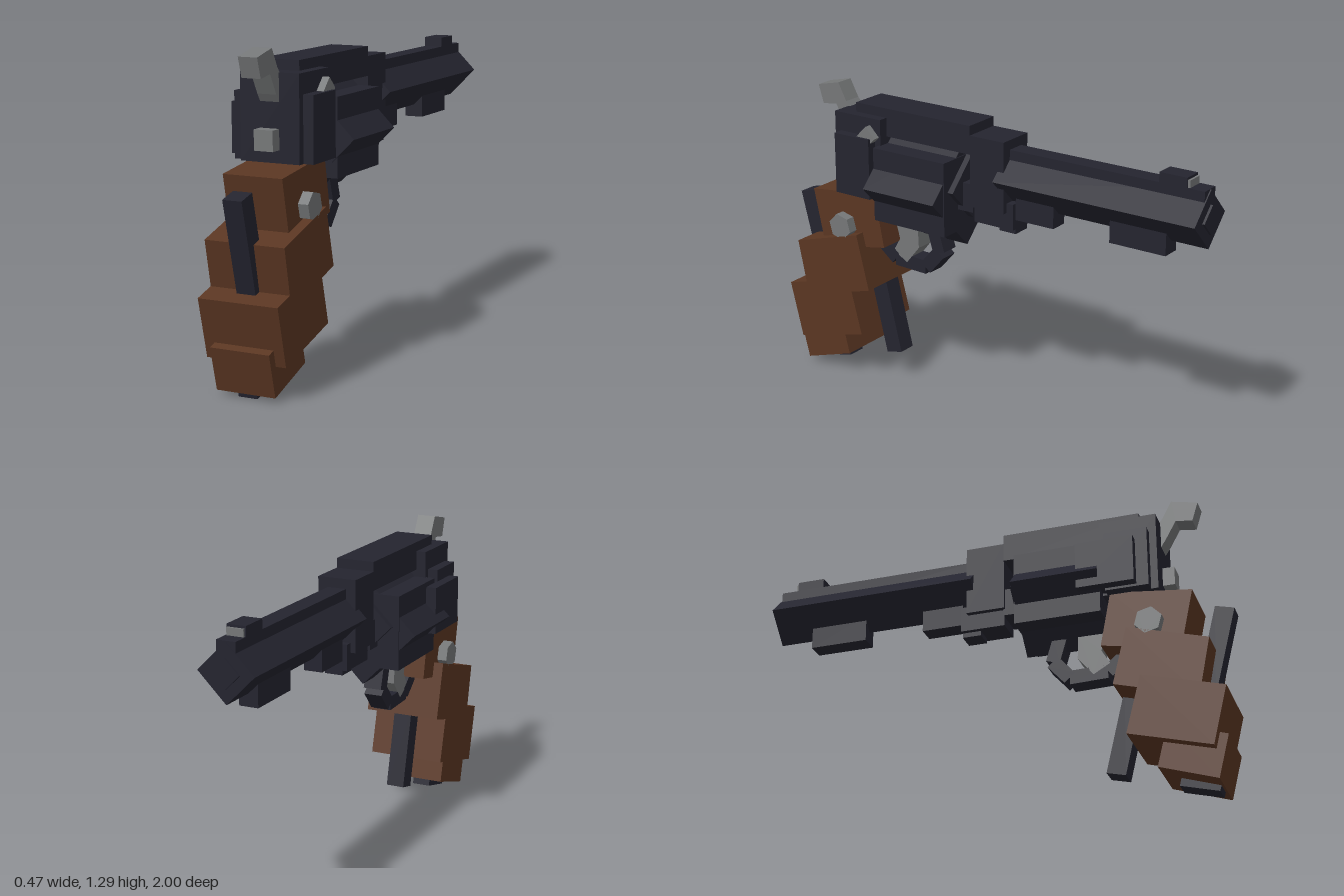
import * as THREE from 'three';

export function createModel() {
  const model = new THREE.Group();
  model.name = 'revolver';
  const material = (name, color) => {
    const m = new THREE.MeshStandardMaterial({ color });
    m.name = name;
    return m;
  };
  const gunmetal = material('gunmetal', 0x24242f);
  const wood = material('wood', 0x5a3622);
  const steel = material('steel', 0x757778);

  const add = (name, geometry, mat) => {
    const mesh = new THREE.Mesh(geometry, mat);
    mesh.name = name;
    model.add(mesh);
    return mesh;
  };
  // Box given by its limits on each axis
  const block = (name, [x0, x1], [y0, y1], [z0, z1], mat = gunmetal) => {
    const mesh = add(name, new THREE.BoxGeometry(x1 - x0, y1 - y0, z1 - z0), mat);
    mesh.position.set((x0 + x1) / 2, (y0 + y1) / 2, (z0 + z1) / 2);
    return mesh;
  };
  // Side outline of [z, y] points, extruded across the width
  const slab = (name, points, half, mat, x = 0) => {
    const shape = new THREE.Shape(points.map(([z, y]) => new THREE.Vector2(z, y)));
    const g = new THREE.ExtrudeGeometry(shape, { depth: half * 2, bevelEnabled: false });
    g.translate(0, 0, -half);
    g.rotateY(-Math.PI / 2);
    const mesh = add(name, g, mat);
    mesh.position.x = x;
    return mesh;
  };
  // Straight bar between two [z, y] points
  const bar = (name, [z0, y0], [z1, y1], thick, half, mat = gunmetal) => {
    const dz = z1 - z0, dy = y1 - y0;
    const g = new THREE.BoxGeometry(half * 2, thick, Math.hypot(dz, dy));
    const mesh = add(name, g, mat);
    mesh.position.set(0, (y0 + y1) / 2, (z0 + z1) / 2);
    mesh.rotation.x = -Math.atan2(dy, dz);
    return mesh;
  };
  // Square prism along z, standing on its edge
  const diamond = (name, radius, y, [z0, z1], mat = gunmetal) => {
    const s = radius * Math.SQRT2;
    const mesh = block(name, [-s / 2, s / 2], [y - s / 2, y + s / 2], [z0, z1], mat);
    mesh.rotation.z = Math.PI / 4;
    return mesh;
  };

  // Barrel, rib, muzzle and sight
  diamond('barrel', 0.118, 1.05, [-0.99, -0.08]);
  block('barrelRib', [-0.04, 0.04], [1.05, 1.17], [-0.985, -0.1]);
  diamond('muzzle', 0.06, 1.05, [-1, -0.98]);
  block('frontSight', [-0.04, 0.04], [1.15, 1.21], [-0.91, -0.79]);
  block('sightInsert', [-0.035, 0.035], [1.165, 1.2], [-0.92, -0.908], steel);
  block('barrelLug', [-0.04, 0.04], [0.88, 1.0], [-0.83, -0.58]);

  // Ejector assembly below the barrel
  block('ejectorHousing', [-0.06, 0.06], [0.84, 0.95], [-0.14, 0.05]);
  block('ejectorRod', [-0.04, 0.04], [0.88, 1.0], [-0.32, -0.14]);
  block('ejectorTip', [-0.04, 0.04], [0.82, 0.86], [-0.14, -0.06]);

  // Frame
  block('frameFront', [-0.083, 0.083], [0.91, 1.21], [-0.11, 0.055]);
  block('frameFrontLower', [-0.07, 0.07], [0.88, 1.0], [0.05, 0.13]);
  block('topStrap', [-0.083, 0.083], [1.13, 1.25], [0.055, 0.64]);
  block('frameRear', [-0.125, 0.125], [0.87, 1.21], [0.48, 0.72]);
  for (const s of [-1, 1])
    block('recoilShield', [s * 0.145 - 0.023, s * 0.145 + 0.023], [0.87, 1.13], [0.51, 0.69]);
  block('loadingGate', [-0.21, -0.12], [0.88, 1.08], [0.4, 0.64]);
  block('rearSteelBlock', [-0.04, 0.04], [0.92, 1.0], [0.71, 0.77], steel);
  const catchPin = block('sideCatch', [0.11, 0.155], [1.1, 1.165], [0.5, 0.57], steel);
  catchPin.rotation.x = Math.PI / 4;

  // Drum made of two crossed square prisms
  diamond('drum', 0.235, 0.94, [0.13, 0.49]);
  block('drum', [-0.165, 0.165], [0.785, 1.1], [0.125, 0.488]);
  diamond('drumAxle', 0.14, 0.97, [0.1, 0.14]);

  // Hammer and trigger
  slab('hammer', [[0.88, 1.28], [0.855, 1.2], [0.785, 1.21], [0.74, 1.13],
    [0.7, 1.07], [0.66, 1.15], [0.73, 1.23], [0.77, 1.305]], 0.04, steel);
  slab('trigger', [[0.48, 0.76], [0.36, 0.76], [0.355, 0.65], [0.42, 0.57],
    [0.49, 0.61], [0.455, 0.67]], 0.04, steel);

  // Trigger guard
  const guard = [[0.58, 0.655], [0.48, 0.575], [0.32, 0.57], [0.25, 0.65], [0.28, 0.75]];
  for (let i = 1; i < guard.length; i++)
    bar('triggerGuard', guard[i - 1], guard[i], 0.06, 0.04);

  // Wooden grip sections
  slab('gripTop', [[0.855, 0.84], [0.8, 0.59], [0.475, 0.65], [0.52, 0.88]], 0.125, wood);
  slab('gripUpper', [[0.92, 0.6], [0.87, 0.36], [0.53, 0.455], [0.59, 0.695]], 0.168, wood);
  slab('gripLower', [[0.975, 0.39], [0.915, 0.15], [0.577, 0.24], [0.64, 0.48]], 0.168, wood);
  slab('gripHeel', [[0.965, 0.205], [0.92, 0.03], [0.685, 0.105], [0.73, 0.28]], 0.125, wood);

  // Metal straps on the grip
  bar('backStrap', [0.965, 0.785], [0.87, 0.415], 0.08, 0.04);
  bar('frontStrap', [0.585, 0.48], [0.5, 0.13], 0.08, 0.04);
  bar('buttPlate', [0.91, 0.035], [0.755, 0.075], 0.05, 0.04);

  // Grip bolts on both sides
  const bolt = Array.from({ length: 6 }, (_, i) => {
    const a = i * Math.PI / 3 + 0.25;
    return [0.68 + 0.058 * Math.cos(a), 0.713 + 0.058 * Math.sin(a)];
  });
  for (const s of [-1, 1]) slab('gripBolt', bolt, 0.028, steel, s * 0.14);

  return model;
}
